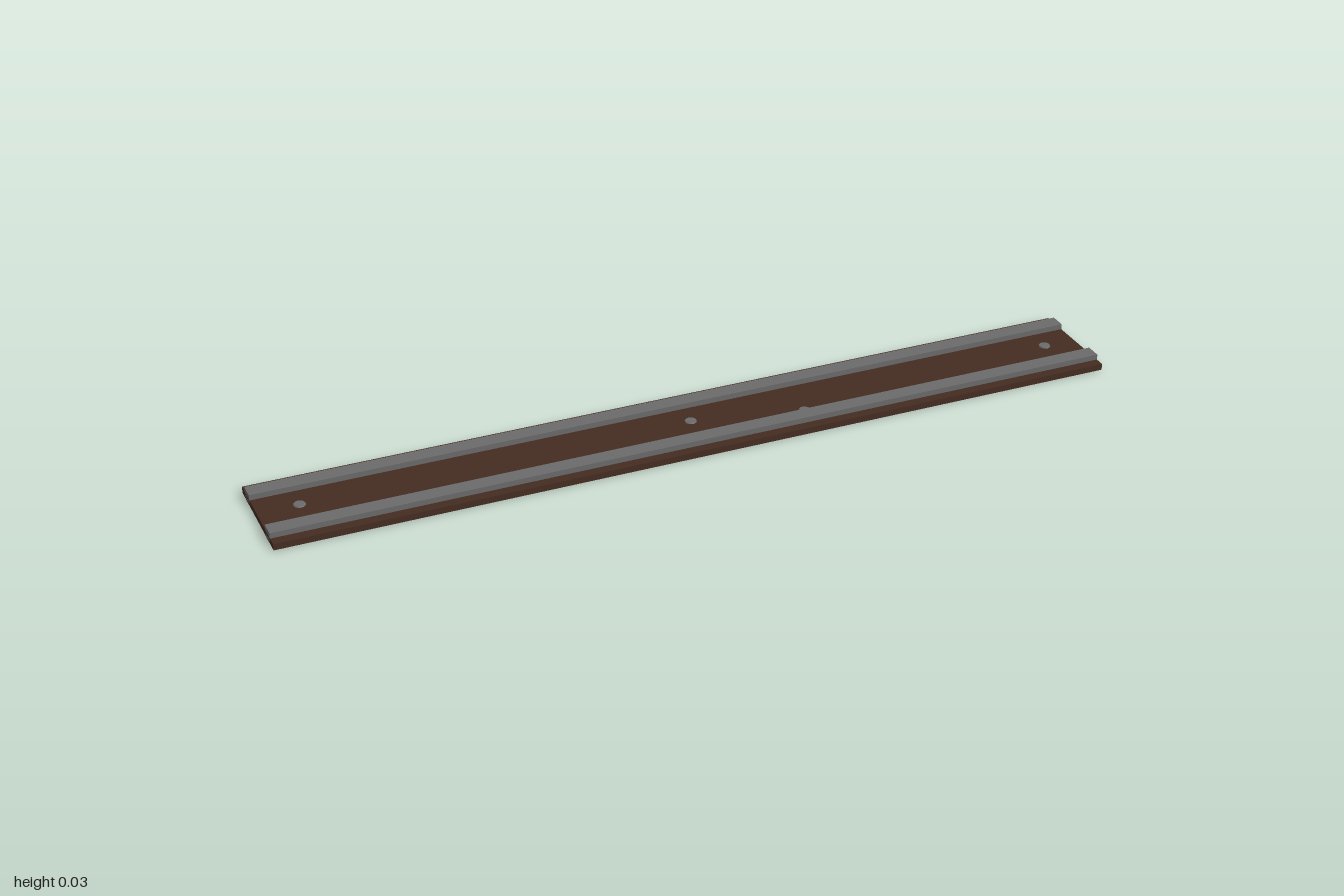
import * as THREE from 'three';

export function createModel() {
  const model = new THREE.Group();
  const wood = new THREE.MeshStandardMaterial({ color: 0x452d22 });
  wood.name = 'dark brown wood';
  const steel = new THREE.MeshStandardMaterial({ color: 0x6b6b6b });
  steel.name = 'grey steel';

  // Box given by its lower and upper limits in y and z, centred on x
  function bar(name, length, y0, y1, z0, z1, material) {
    const mesh = new THREE.Mesh(new THREE.BoxGeometry(length, y1 - y0, z1 - z0), material);
    mesh.position.set(0, (y0 + y1) / 2, (z0 + z1) / 2);
    mesh.name = name;
    model.add(mesh);
  }

  // Long flat plank
  bar('plank', 1.999, 0.0008, 0.016, -0.126, 0.126, wood);

  // Rail on each side, with an embedded flange and a strip under the plank
  for (const side of [1, -1]) {
    const label = side > 0 ? 'front' : 'back';
    const span = (a, b) => (side > 0 ? [a, b] : [-b, -a]);
    bar(label + 'Rail', 2, 0.0155, 0.029, ...span(0.064, 0.102), steel);
    bar(label + 'RailFlange', 2, 0.007, 0.009, ...span(0.067, 0.1), steel);
    bar(label + 'RailUnderStrip', 2, 0, 0.002, ...span(0.073, 0.093), steel);
  }

  // Low bolt heads on the deck
  const boltGeometry = new THREE.CylinderGeometry(0.013, 0.015, 0.004, 12);
  for (const [x, z] of [[-0.905, -0.006], [0.006, -0.006], [0.92, -0.006], [0.264, 0.05]]) {
    const bolt = new THREE.Mesh(boltGeometry, steel);
    bolt.position.set(x, 0.0165, z);
    bolt.name = 'bolt';
    model.add(bolt);
  }
  return model;
}
